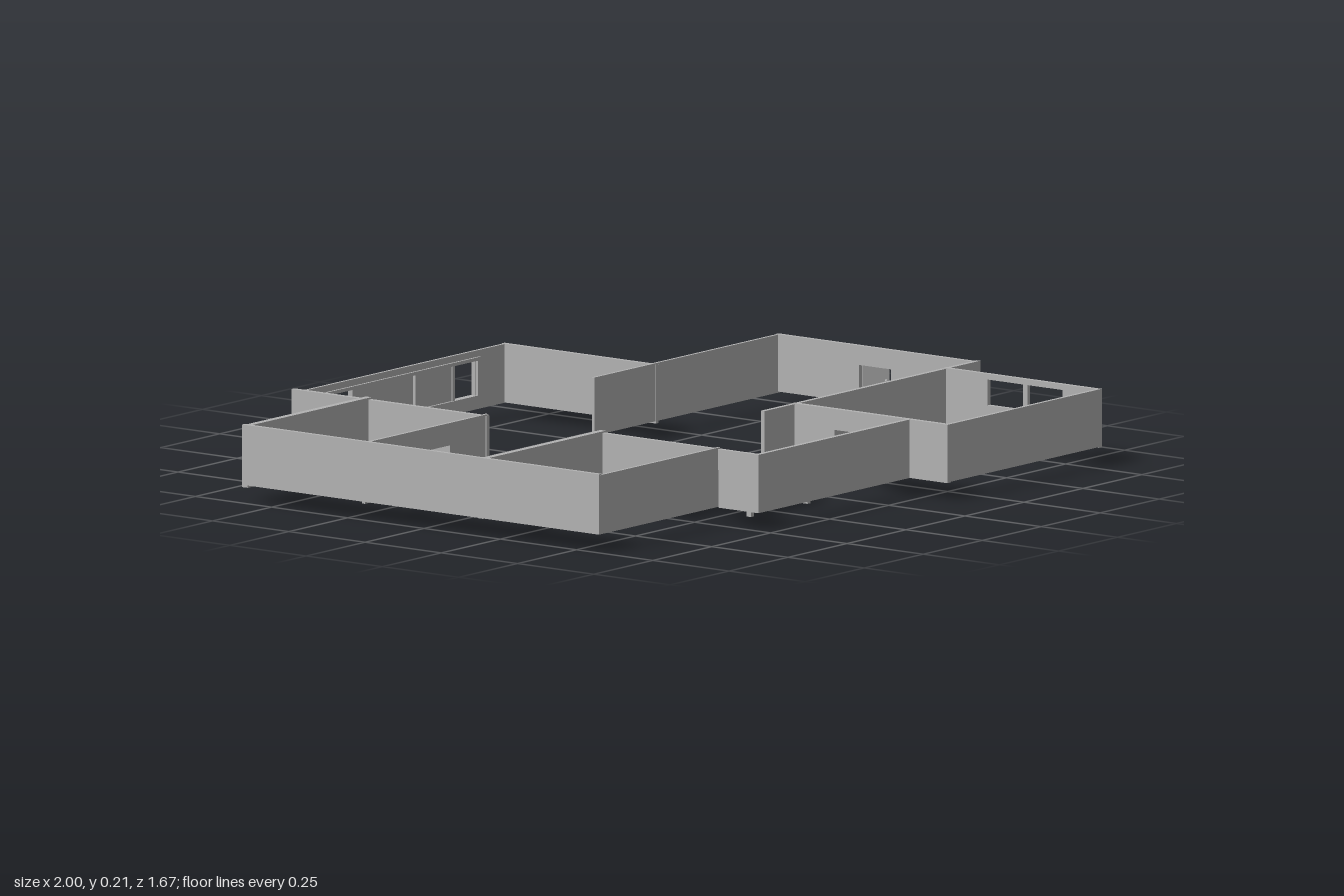
import * as THREE from 'three';

export function createModel() {
  const model = new THREE.Group();
  model.name = 'floorPlan';
  const grey = new THREE.MeshStandardMaterial({ color: 0xb2b2b2 });
  grey.name = 'plainGrey';

  const add = (name, geometry, parent = model) => {
    const mesh = new THREE.Mesh(geometry, grey);
    mesh.name = name;
    parent.add(mesh);
    return mesh;
  };
  const box = (name, x0, x1, y0, y1, z0, z1, parent) =>
    add(name, new THREE.BoxGeometry(x1 - x0, y1 - y0, z1 - z0), parent)
      .position.set((x0 + x1) / 2, (y0 + y1) / 2, (z0 + z1) / 2);

  // Upright wall along x or z; doors are notches [start, end, top], windows are holes [start, end, bottom, top]
  const wall = (name, axis, at, from, to, y0, y1, { t = 0.012, doors = [], windows = [] } = {}) => {
    const shape = new THREE.Shape();
    shape.moveTo(from, y0);
    for (const [a, b, top] of doors) {
      shape.lineTo(a, y0); shape.lineTo(a, top);
      shape.lineTo(b, top); shape.lineTo(b, y0);
    }
    shape.lineTo(to, y0); shape.lineTo(to, y1); shape.lineTo(from, y1);
    shape.closePath();
    for (const [a, b, low, high] of windows) {
      const hole = new THREE.Path();
      hole.moveTo(a, low); hole.lineTo(a, high);
      hole.lineTo(b, high); hole.lineTo(b, low);
      hole.closePath();
      shape.holes.push(hole);
    }
    const g = new THREE.ExtrudeGeometry(shape, { depth: t, bevelEnabled: false });
    g.translate(0, 0, -t / 2);
    if (axis === 'z') { g.rotateY(-Math.PI / 2); g.translate(at, 0, 0); }
    else g.translate(0, 0, at);
    return add(name, g);
  };

  // Back room
  wall('backWall', 'x', -0.826, -0.489, 0.415, 0.035, 0.19,
    { t: 0.008, windows: [[-0.335, 0.28, 0.07, 0.165]] });
  wall('backRoomLeftWall', 'z', 0.409, -0.83, -0.325, 0.036, 0.191);
  wall('backRoomRightWall', 'z', -0.482, -0.83, -0.191, 0.038, 0.2, { t: 0.014 });

  // Rooms along the -x side
  wall('outerSideWall', 'z', -0.994, -0.597, 0.573, 0.048, 0.207);
  wall('sideRoomBackWall', 'x', -0.587, -1, -0.476, 0.042, 0.205, { t: 0.018 });
  wall('sideRoomFrontWall', 'x', -0.198, -1, -0.476, 0.043, 0.204,
    { t: 0.009, doors: [[-0.735, -0.64, 0.145]] });
  wall('frontSideRoomBackWall', 'x', 0.185, -1, -0.48, 0.047, 0.204, { t: 0.018 });
  wall('frontSideRoomFrontWall', 'x', 0.57, -1, -0.487, 0.048, 0.204, { t: 0.008 });
  wall('frontSideRoomInnerWall', 'z', -0.489, 0.178, 0.706, 0.046, 0.2,
    { doors: [[0.465, 0.575, 0.145]] });

  // Front porch wall and front room
  wall('frontWall', 'x', 0.7, -0.494, 0.158, 0.046, 0.2);
  wall('frontRoomInnerWall', 'z', 0.153, 0.32, 0.83, 0.046, 0.2,
    { t: 0.014, doors: [[0.46, 0.565, 0.145]] });
  wall('frontRoomFrontWall', 'x', 0.825, 0.146, 0.801, 0.048, 0.2, { t: 0.01 });
  wall('frontRoomOuterWall', 'z', 0.794, 0.32, 0.83, 0.046, 0.2,
    { windows: [[0.465, 0.58, 0.117, 0.185], [0.595, 0.71, 0.117, 0.185]] });

  // Entrance hall
  wall('hallFrontWall', 'x', 0.322, 0.02, 0.934, 0.045, 0.198);
  wall('entranceWall', 'z', 0.928, -0.334, 0.328, 0.045, 0.196,
    { doors: [[-0.06, 0.045, 0.145]] });
  wall('hallBackWall', 'x', -0.33, 0.143, 0.934, 0.042, 0.195, { t: 0.008 });

  // Open entrance door leaf with a knob
  const door = new THREE.Group();
  door.name = 'entranceDoor';
  door.position.set(0.934, 0, -0.06);
  door.rotation.y = -0.54;
  model.add(door);
  box('doorLeaf', 0, 0.076, 0.05, 0.146, -0.003, 0.003, door);
  add('doorKnob', new THREE.SphereGeometry(0.004, 8, 6), door).position.set(0.066, 0.098, 0.004);

  // Long back window: frame, two sliding panels in the middle, glassless ends
  const win = new THREE.Group();
  win.name = 'backWindow';
  model.add(win);
  for (const [y0, y1] of [[0.063, 0.072], [0.164, 0.173]])
    box('windowRail', -0.352, 0.295, y0, y1, -0.837, -0.816, win);
  for (const x of [-0.352, 0.283])
    box('windowJamb', x, x + 0.012, 0.072, 0.164, -0.837, -0.816, win);
  for (const x of [-0.245, 0.022, 0.18])
    box('windowPost', x, x + 0.01, 0.072, 0.164, -0.834, -0.819, win);
  box('slidingPanel', -0.235, 0.022, 0.072, 0.164, -0.831, -0.827, win);
  box('slidingPanel', 0.032, 0.18, 0.072, 0.164, -0.826, -0.822, win);

  // Table
  const table = new THREE.Group();
  table.name = 'table';
  model.add(table);
  box('tableTop', -0.352, -0.1, 0.082, 0.09, 0.165, 0.573, table);
  for (const x of [-0.352, -0.113])
    for (const [z, foot] of [[0.168, 0.008], [0.556, 0]])
      box('tableLeg', x, x + 0.013, foot, 0.082, z, z + 0.015, table);

  return model;
}
